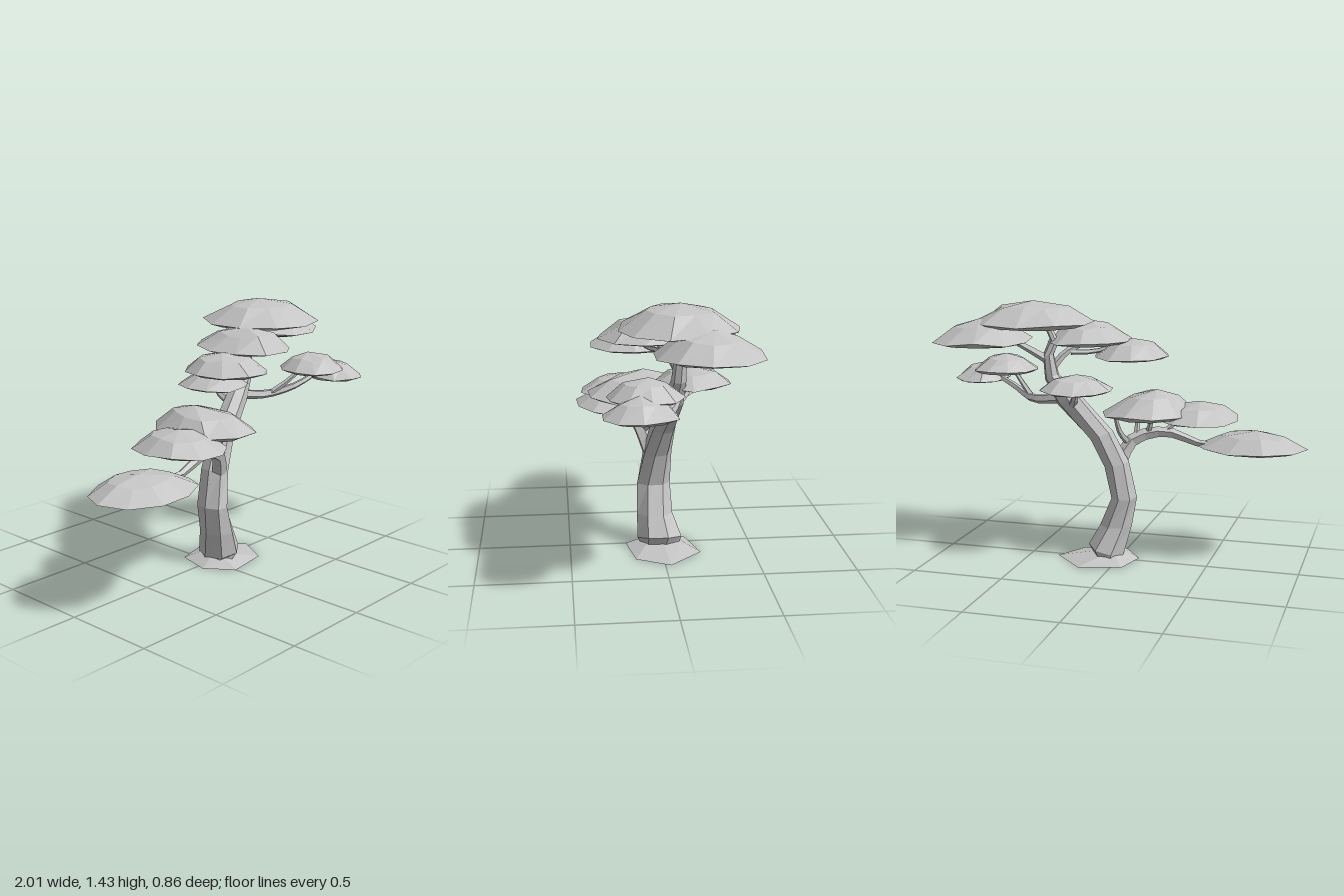
import * as THREE from 'three';

const V = (x, y, z) => new THREE.Vector3(x, y, z);

// small seeded generator for the irregular facets
let seed = 7;
const rand = () => {
  seed = (seed * 16807) % 2147483647;
  return seed / 2147483647;
};
const jitter = (amount) => (rand() - 0.5) * 2 * amount;

// faceted skin through rings of points, ordered bottom to top
function loft(rings) {
  const pos = [];
  const tri = (a, b, c) => {
    if (a.distanceTo(b) < 1e-5 || b.distanceTo(c) < 1e-5 || a.distanceTo(c) < 1e-5) return;
    for (const p of [a, b, c]) pos.push(p.x, p.y, p.z);
  };
  const n = rings[0].length;
  for (let i = 0; i < rings.length - 1; i++) {
    for (let j = 0; j < n; j++) {
      const k = (j + 1) % n;
      tri(rings[i][j], rings[i][k], rings[i + 1][k]);
      tri(rings[i][j], rings[i + 1][k], rings[i + 1][j]);
    }
  }
  const geo = new THREE.BufferGeometry();
  geo.setAttribute('position', new THREE.Float32BufferAttribute(pos, 3));
  geo.computeVertexNormals();
  return geo;
}

// horizontal ring, optionally tilted along x
function ring(n, x, y, z, rx, rz, tilt = 0, turn = 0) {
  return Array.from({ length: n }, (_, j) => {
    const a = (j / n) * Math.PI * 2 + turn;
    const dx = Math.cos(a) * rx;
    return V(x + dx, y + tilt * dx, z - Math.sin(a) * rz);
  });
}

// flat-bottomed leaf pad with an uneven rim, a shoulder ring and a peak
function padGeometry([x0, x1, z0, z1, y0, y1, peakX, peakZ]) {
  const n = 10;
  const x = (x0 + x1) / 2, z = (z0 + z1) / 2;
  const rx = (x1 - x0) / 2, rz = (z1 - z0) / 2, h = y1 - y0;
  const turn = rand() * 0.6;
  const rim = ring(n, x, y0 + h * 0.17, z, rx, rz, 0, turn);
  for (const p of rim) {
    const s = 1.01 + jitter(0.04);
    p.set(x + (p.x - x) * s, p.y + jitter(h * 0.07), z + (p.z - z) * s);
  }
  const under = rim.map((p) => V(x + (p.x - x) * 0.8, y0 + 0.005, z + (p.z - z) * 0.8));
  const shoulder = rim.map((p) => {
    const s = 0.56 + jitter(0.08);
    return V(
      x + (p.x - x) * s + (peakX - x) * 0.4,
      y0 + h * (0.74 + jitter(0.07)),
      z + (p.z - z) * s + (peakZ - z) * 0.4
    );
  });
  const bottom = rim.map(() => V(x, y0, z));
  const peak = rim.map(() => V(peakX, y1, peakZ));
  return loft([bottom, under, rim, shoulder, peak]);
}

// tapering five-sided branch along a few points
function branchGeometry(points, r0, r1) {
  const curve = new THREE.CatmullRomCurve3(points.map((p) => V(...p)));
  const segs = points.length * 2;
  const { normals, binormals } = curve.computeFrenetFrames(segs);
  const rings = [];
  for (let i = 0; i <= segs; i++) {
    const t = i / segs;
    const c = curve.getPointAt(t);
    const r = r0 + (r1 - r0) * t;
    rings.push(Array.from({ length: 5 }, (_, j) => {
      const a = (j / 5) * Math.PI * 2;
      return c.clone()
        .addScaledVector(normals[i], Math.cos(a) * r)
        .addScaledVector(binormals[i], Math.sin(a) * r);
    }));
  }
  const end = curve.getPointAt(1);
  rings.push(rings[0].map(() => end.clone()));
  return loft(rings);
}

export function createModel() {
  const model = new THREE.Group();
  model.name = 'tree';
  const grey = new THREE.MeshStandardMaterial({ color: 0xc4c4c4 });
  grey.name = 'plain grey';
  const add = (name, geo) => {
    const mesh = new THREE.Mesh(geo, grey);
    mesh.name = name;
    model.add(mesh);
  };

  // spreading root foot
  const foot = [[0.34, -0.03], [0.17, -0.21], [-0.06, -0.15], [-0.11, 0.04], [0.0, 0.19], [0.24, 0.15]]
    .map(([x, z]) => V(x, 0, z));
  add('rootFoot', loft([
    foot.map(() => V(0.08, 0, 0)),
    foot,
    foot.map((p) => V(0.04 + (p.x - 0.06) * 0.4, 0.035, p.z * 0.55)),
    foot.map(() => V(0.05, 0.06, 0)),
  ]));

  // leaning trunk: x, y, z, half width, half depth, tilt
  const trunk = [
    [0.05, 0.02, 0.0, 0.08, 0.11, 0],
    [0.065, 0.06, 0.005, 0.1, 0.125, 0.25],
    [0.02, 0.19, 0.03, 0.09, 0.1, 0],
    [-0.025, 0.35, 0.035, 0.07, 0.095, 0],
    [0.015, 0.54, 0.015, 0.068, 0.08, -0.2],
    [0.095, 0.7, -0.01, 0.063, 0.07, -0.4],
    [0.27, 0.9, -0.05, 0.058, 0.055, -0.6],
    [0.355, 1.02, -0.065, 0.038, 0.04, -0.4],
    [0.372, 1.14, -0.07, 0.03, 0.034, 0],
    [0.34, 1.22, -0.06, 0.026, 0.028, 0.3],
    [0.39, 1.32, -0.06, 0.018, 0.018, 0],
  ];
  const rings = trunk.map(([x, y, z, rx, rz, tilt], i) => ring(7, x, y, z, rx, rz, tilt, 0.2 + i * 0.12));
  rings.push(rings[0].map(() => V(0.39, 1.33, -0.06)));
  add('trunk', loft(rings));

  // main branches and twigs: name, points, start and end radius
  const branches = [
    ['leftBranch', [[0.01, 0.53, 0.05], [-0.05, 0.655, 0.1], [-0.22, 0.705, 0.15], [-0.45, 0.64, 0.17], [-0.62, 0.68, 0.12]], 0.045, 0.01],
    ['leftTwig', [[-0.22, 0.7, 0.15], [-0.27, 0.75, 0.17], [-0.33, 0.82, 0.18]], 0.018, 0.01],
    ['leftTwig', [[-0.13, 0.69, 0.13], [-0.155, 0.76, 0.11], [-0.16, 0.84, 0.1]], 0.018, 0.01],
    ['leftTwig', [[-0.07, 0.66, 0.1], [-0.07, 0.75, 0.14], [-0.04, 0.84, 0.17]], 0.018, 0.01],
    ['leftTwig', [[-0.04, 0.64, 0.09], [0.0, 0.71, 0.04], [0.02, 0.82, 0.0]], 0.02, 0.01],
    ['rightBranch', [[0.27, 0.91, -0.06], [0.49, 0.885, 0.0], [0.62, 0.925, 0.09], [0.74, 0.975, 0.13], [0.85, 0.985, 0.16]], 0.032, 0.01],
    ['rightTwig', [[0.5, 0.89, 0.01], [0.58, 0.96, 0.07], [0.66, 1.04, 0.12]], 0.018, 0.01],
    ['middleTwig', [[0.25, 0.86, -0.06], [0.21, 0.91, -0.12], [0.19, 0.99, -0.16]], 0.025, 0.012],
    ['upperRightBranch', [[0.37, 1.11, -0.07], [0.46, 1.17, -0.11], [0.6, 1.25, -0.16]], 0.026, 0.012],
    ['upperLeftBranch', [[0.36, 1.06, -0.06], [0.29, 1.15, -0.01], [0.2, 1.2, 0.05], [0.12, 1.27, 0.12]], 0.024, 0.01],
    ['upperLeftTwig', [[0.27, 1.15, 0.0], [0.15, 1.15, 0.08], [0.0, 1.2, 0.14]], 0.016, 0.01],
  ];
  for (const [name, points, r0, r1] of branches) add(name, branchGeometry(points, r0, r1));

  // leaf pads: x range, z range, y range, peak x and z
  const pads = [
    ['lowLeftPad', [-1.0, -0.4, -0.03, 0.44, 0.615, 0.73, -0.73, 0.2]],
    ['secondLeftPad', [-0.63, -0.18, -0.09, 0.42, 0.77, 0.885, -0.42, 0.17]],
    ['thirdLeftPad', [-0.39, 0.1, -0.21, 0.38, 0.8, 0.955, -0.2, 0.07]],
    ['middlePad', [-0.01, 0.39, -0.36, 0.05, 0.95, 1.05, 0.19, -0.14]],
    ['rightPad', [0.52, 0.88, -0.05, 0.33, 1.0, 1.115, 0.69, 0.12]],
    ['farRightPad', [0.7, 1.0, -0.02, 0.36, 0.945, 1.06, 0.82, 0.17]],
    ['upperLeftPad', [-0.24, 0.17, -0.1, 0.37, 1.105, 1.22, -0.05, 0.13]],
    ['upperMiddlePad', [-0.04, 0.41, -0.2, 0.34, 1.19, 1.32, 0.19, 0.08]],
    ['topPad', [0.14, 0.8, -0.36, 0.26, 1.285, 1.43, 0.46, -0.06]],
    ['upperRightPad', [0.45, 0.97, -0.44, 0.1, 1.195, 1.34, 0.71, -0.19]],
  ];
  for (const [name, size] of pads) add(name, padGeometry(size));

  return model;
}
